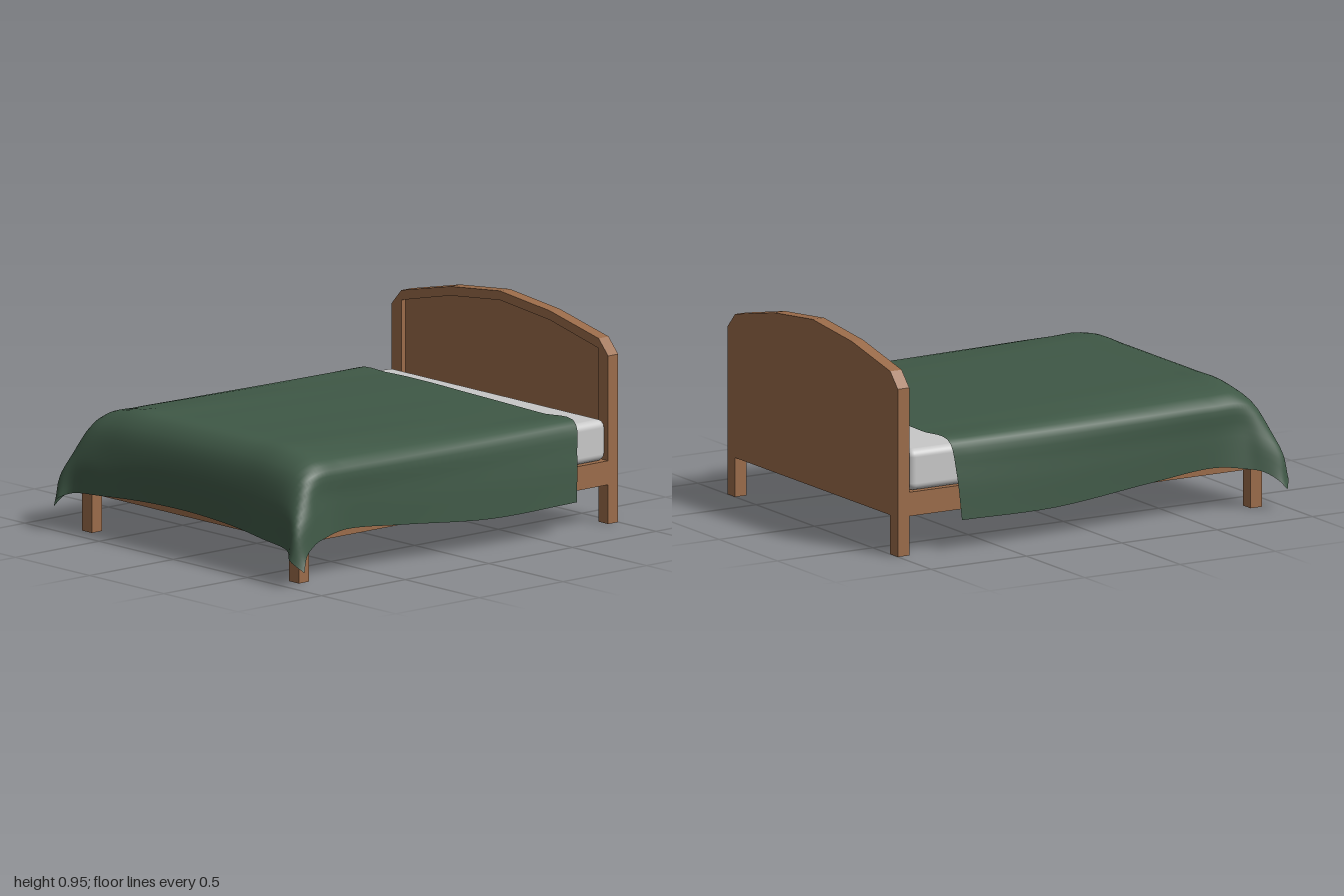
import * as THREE from 'three';
import { RoundedBoxGeometry } from 'three/addons/geometries/RoundedBoxGeometry.js';

const CX = 0.015; // the bed frame sits slightly off the blanket's centre

export function createModel() {
  const wood = new THREE.MeshStandardMaterial({ color: 0x9b6c4a });
  const sheet = new THREE.MeshStandardMaterial({ color: 0xc8c8c8 });
  const green = new THREE.MeshStandardMaterial({ color: 0x3f5846, side: THREE.DoubleSide });
  wood.name = 'wood';
  sheet.name = 'mattress white';
  green.name = 'blanket green';

  const model = new THREE.Group();
  model.name = 'bed';
  const add = (name, geometry, material, x = 0, y = 0, z = 0) => {
    const mesh = new THREE.Mesh(geometry, material);
    mesh.name = name;
    mesh.position.set(x, y, z);
    model.add(mesh);
  };
  const mirror = (pts) => pts.slice(0, -1).reverse().map(([x, y]) => [-x, y]);
  const slab = (pts, depth) => new THREE.ExtrudeGeometry(
    new THREE.Shape(pts.map(([x, y]) => new THREE.Vector2(x, y))),
    { depth, bevelEnabled: false });

  // Headboard: arched frame running down into two legs, with a recessed panel
  const outer = [[0.73, 0], [0.73, 0.77], [0.665, 0.84], [0.335, 0.912], [0, 0.947]];
  const inner = [[0.665, 0], [0.665, 0.795], [0.335, 0.87], [0, 0.905]];
  const innerArch = [...inner, ...mirror(inner)];
  add('headboardFrame', slab([...outer, ...mirror(outer), ...innerArch.reverse()], 0.06), wood, CX, 0, -1);
  const panel = [[0.665, 0.18], ...inner.slice(1)];
  add('headboardPanel', slab([...panel, ...mirror(panel)], 0.035), wood, CX, 0, -1);

  // Platform with side rails, and the two foot legs
  add('platform', new THREE.BoxGeometry(1.46, 0.11, 1.85), wood, CX, 0.235, -0.015);
  for (const s of [-1, 1]) {
    add(s < 0 ? 'rightFootLeg' : 'leftFootLeg',
      new THREE.BoxGeometry(0.065, 0.18, 0.06), wood, CX + s * 0.6975, 0.09, 0.88);
  }

  // Mattress
  add('mattress', new RoundedBoxGeometry(1.455, 0.19, 1.78, 4, 0.035), sheet, CX, 0.385, -0.045);

  add('blanket', blanketGeometry(), green);
  return model;
}

// Cloth surface lofted through half cross-sections, mirrored left to right
function blanketGeometry() {
  // each row runs from crown to shoulder, edge, mid drop and hem: [x, y, z]
  const straight = (z, top, edge, mid, hem, hemShift = 0) => [
    [0, top, z], [0.3, top, z], [0.54, top - 0.004, z], [...edge, z],
    [...mid, z + hemShift / 2], [...hem, z + hemShift]];
  const rows = [
    straight(-0.735, 0.514, [0.735, 0.5], [0.772, 0.36], [0.79, 0.145], 0.035),
    straight(-0.2, 0.532, [0.733, 0.5], [0.762, 0.35], [0.775, 0.14]),
    straight(0.3, 0.549, [0.732, 0.503], [0.75, 0.36], [0.757, 0.185]),
    straight(0.65, 0.561, [0.73, 0.505], [0.743, 0.37], [0.75, 0.213]),
    straight(0.8, 0.563, [0.728, 0.5], [0.752, 0.37], [0.775, 0.195]),
    [[0, 0.5, 0.88], [0.3, 0.5, 0.88], [0.54, 0.495, 0.885], [0.72, 0.455, 0.885],
      [0.78, 0.33, 0.88], [0.8, 0.18, 0.87]],
    [[0, 0.36, 0.922], [0.3, 0.36, 0.925], [0.54, 0.35, 0.935], [0.715, 0.33, 0.95],
      [0.795, 0.26, 0.965], [0.825, 0.14, 0.93]],
    [[0, 0.208, 0.918], [0.3, 0.2, 0.925], [0.54, 0.185, 0.95], [0.73, 0.165, 0.965],
      [0.785, 0.135, 1.0], [0.845, 0.085, 0.965]],
  ];
  const N = 48, M = 42;
  const spline = (pts, n) => new THREE.CatmullRomCurve3(pts, false, 'centripetal');
  const across = rows.map((half, r) => {
    const full = [...half.slice(1).reverse().map(([x, y, z]) => [-x, y, z]), ...half];
    const shift = r < 5 ? CX : r < 6 ? 0.01 : 0;
    const pts = full.map(([x, y, z]) => new THREE.Vector3(
      x + shift,
      y - (r === 7 ? 0.015 * x : 0),
      z + (r === 0 ? 0.02 * Math.sin(3.2 * x) * (Math.abs(x) < 0.7 ? 1 : 0) : 0)));
    const curve = spline(pts);
    return Array.from({ length: N + 1 }, (_, j) => curve.getPoint(j / N));
  });

  const positions = new Float32Array((N + 1) * (M + 1) * 3);
  for (let j = 0; j <= N; j++) {
    const curve = spline(across.map((row) => row[j]));
    for (let i = 0; i <= M; i++) {
      curve.getPoint(i / M).toArray(positions, (i * (N + 1) + j) * 3);
    }
  }
  const index = [];
  for (let i = 0; i < M; i++) {
    for (let j = 0; j < N; j++) {
      const a = i * (N + 1) + j, b = a + N + 1;
      index.push(a, b, a + 1, b, b + 1, a + 1);
    }
  }
  const geometry = new THREE.BufferGeometry();
  geometry.setAttribute('position', new THREE.BufferAttribute(positions, 3));
  geometry.setIndex(index);
  geometry.computeVertexNormals();
  return geometry;
}
